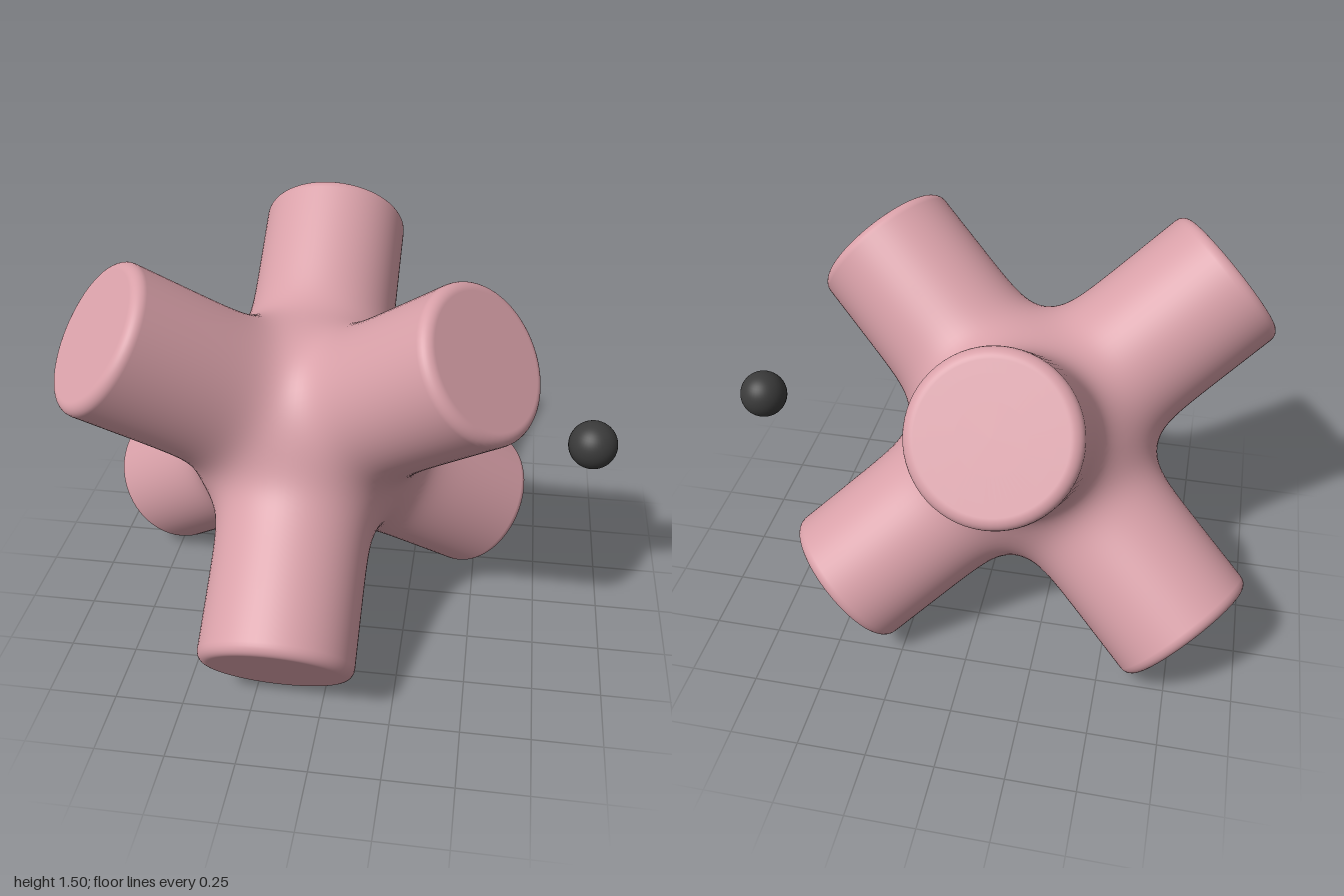
import * as THREE from 'three';

const RADIUS = 0.278, LENGTH = 0.93, ROUND = 0.04; // arm size and cap rounding
const BLEND = 0.045, HUB = 0.425;                  // softness of the joint, hub sphere

// Distance to a double-ended cylinder with rounded rims
function rod(w, a, b) {
  const p = Math.hypot(a, b) - RADIUS + ROUND, q = Math.abs(w) - LENGTH + ROUND;
  return Math.min(Math.max(p, q), 0) + Math.hypot(Math.max(p, 0), Math.max(q, 0)) - ROUND;
}

// Soft union of three perpendicular rods and the hub
function field(x, y, z) {
  const parts = [rod(x, y, z), rod(y, z, x), rod(z, x, y), Math.hypot(x, y, z) - HUB];
  return -BLEND * Math.log(parts.reduce((s, d) => s + Math.exp(-d / BLEND), 0));
}

// One arm along +z, ending where it meets its four neighbours
function armGeometry() {
  const SEG = 64, SIDE = 26;
  const cap = [0, 0.12, 0.21, 0.245];
  for (let i = 0; i <= 9; i++) cap.push(0.254 + 0.0065 * i);
  const last = cap[cap.length - 1], rows = cap.length + SIDE;
  const pos = [], nor = [], idx = [], n = new THREE.Vector3(), e = 1e-4;
  for (let i = 0; i < rows; i++) {
    for (let j = 0; j <= SEG; j++) {
      const t = (j / SEG) * Math.PI * 2, c = Math.cos(t), s = Math.sin(t);
      const edge = Math.max(Math.abs(c), Math.abs(s));
      const k = (i - cap.length + 1) / SIDE;
      const slope = i < cap.length ? cap[i] : 1 / THREE.MathUtils.lerp(1 / last, edge, k);
      const d = new THREE.Vector3(c * slope, s * slope, 1).normalize();
      let lo = 0.2, hi = 1.2;
      for (let m = 0; m < 30; m++) {
        const mid = (lo + hi) / 2;
        if (field(d.x * mid, d.y * mid, d.z * mid) < 0) lo = mid; else hi = mid;
      }
      const { x, y, z } = d.multiplyScalar(lo);
      n.set(
        field(x + e, y, z) - field(x - e, y, z),
        field(x, y + e, z) - field(x, y - e, z),
        field(x, y, z + e) - field(x, y, z - e)).normalize();
      pos.push(x, y, z);
      nor.push(n.x, n.y, n.z);
      if (i < rows - 1 && j < SEG) {
        const a = i * (SEG + 1) + j, b = a + SEG + 1;
        idx.push(a, b, b + 1);
        if (i > 0) idx.push(a, b + 1, a + 1);
      }
    }
  }
  const g = new THREE.BufferGeometry();
  g.setAttribute('position', new THREE.Float32BufferAttribute(pos, 3));
  g.setAttribute('normal', new THREE.Float32BufferAttribute(nor, 3));
  g.setIndex(idx);
  return g;
}

export function createModel() {
  const model = new THREE.Group();
  const pink = new THREE.MeshStandardMaterial({ name: 'dusty pink', color: 0xd8a0a8 });
  const dark = new THREE.MeshStandardMaterial({ name: 'charcoal', color: 0x3a3a3a });

  // Six-armed junction, balanced on a corner
  const junction = new THREE.Group();
  junction.name = 'junction';
  junction.position.set(-0.153, 0.762, 0);
  const h = Math.sqrt(1 / 3), r2 = Math.sqrt(1 / 2), r6 = Math.sqrt(1 / 6);
  const axes = [
    new THREE.Vector3(0, h, -2 * r6),
    new THREE.Vector3(-r2, h, r6),
    new THREE.Vector3(r2, h, r6),
  ];
  const names = [['upperBackArm', 'lowerFrontArm'], ['upperRightArm', 'lowerLeftArm'], ['upperLeftArm', 'lowerRightArm']];
  const geometry = armGeometry();
  axes.forEach((axis, i) => {
    const u = axes[(i + 1) % 3], v = axes[(i + 2) % 3];
    [1, -1].forEach((sign, j) => {
      const arm = new THREE.Mesh(geometry, pink);
      arm.name = names[i][j];
      const w = axis.clone().multiplyScalar(sign);
      const basis = new THREE.Matrix4();
      if (sign > 0) basis.makeBasis(u, v, w); else basis.makeBasis(v, u, w);
      arm.quaternion.setFromRotationMatrix(basis);
      junction.add(arm);
    });
  });
  model.add(junction);

  // Small separate ball beside the junction
  const ball = new THREE.Mesh(new THREE.SphereGeometry(0.09, 40, 24), dark);
  ball.name = 'ball';
  ball.position.set(0.907, 0.778, 0.005);
  model.add(ball);
  return model;
}
